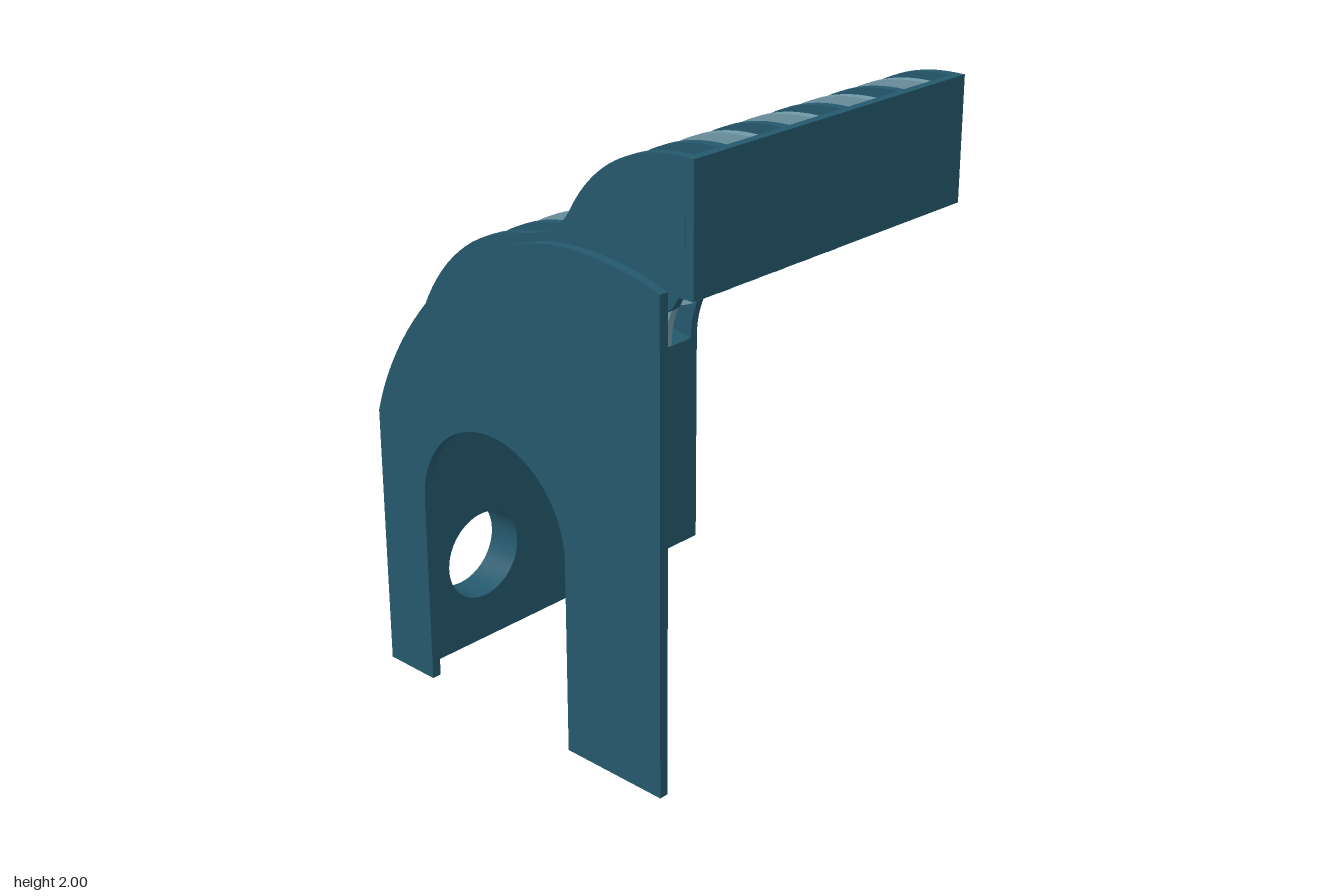
import * as THREE from 'three';
import { toCreasedNormals } from 'three/addons/utils/BufferGeometryUtils.js';

const T = 0.033; // sheet thickness

// Extrude a shape and keep its curved edges smooth
function sheet(shape, depth) {
  const geo = new THREE.ExtrudeGeometry(shape, { depth, bevelEnabled: false, curveSegments: 24 });
  return geo;
}

// Wavy slat, used for every rib
function ribShape() {
  const s = new THREE.Shape();
  s.moveTo(-0.5, 0.815);
  s.bezierCurveTo(-0.5, 1.06, -0.28, 1.23, 0, 1.265);
  s.bezierCurveTo(0.07, 1.275, 0.13, 1.29, 0.17, 1.33);
  s.bezierCurveTo(0.25, 1.47, 0.4, 1.58, 0.6, 1.58);
  s.lineTo(0.6, 2);
  s.bezierCurveTo(0.38, 2, 0.23, 1.9, 0.14, 1.75);
  s.bezierCurveTo(0.09, 1.66, 0.01, 1.64, -0.08, 1.622);
  s.bezierCurveTo(-0.4, 1.57, -0.63, 1.28, -0.63, 0.845);
  s.closePath();
  return s;
}

// Tall front sheet with an arched opening between two legs
function frontShape() {
  const s = new THREE.Shape();
  s.moveTo(-0.63, 0);
  s.lineTo(-0.42, 0);
  s.lineTo(-0.42, 0.665);
  s.absarc(-0.095, 0.665, 0.325, Math.PI, 0, true);
  s.lineTo(0.23, 0);
  s.lineTo(0.63, 0);
  s.lineTo(0.63, 1.64);
  s.bezierCurveTo(0.55, 1.67, 0.42, 1.69, 0.28, 1.69);
  s.bezierCurveTo(-0.12, 1.69, -0.52, 1.29, -0.63, 0.92);
  s.closePath();
  return s;
}

export function createModel() {
  const group = new THREE.Group();
  const dark = new THREE.MeshStandardMaterial({ color: 0x24586c });
  dark.name = 'dark teal';
  const light = new THREE.MeshStandardMaterial({ color: 0x7199a7 });
  light.name = 'pale teal';

  function add(name, geo, mat, x, y, z) {
    const mesh = new THREE.Mesh(toCreasedNormals(geo, 0.5), mat);
    mesh.name = name;
    mesh.position.set(x, y, z);
    group.add(mesh);
  }

  // Ten ribs from back to front, some of them pale
  const ribGeo = sheet(ribShape(), T);
  const pale = [1, 3, 5, 7];
  for (let i = 0; i < 10; i++) {
    add('rib' + (i + 1), ribGeo, pale.includes(i) ? light : dark, 0, 0, -0.695 + i * 0.1355);
  }

  // Arched front panel
  add('frontPanel', sheet(frontShape(), T), dark, 0, 0, 0.695 - T);

  // Upper board joining the rib ends
  add('upperBoard', new THREE.BoxGeometry(0.03, 0.42, 1.252), dark, 0.615, 1.79, -0.069);

  // Thick lower side wall with a round hole and a slightly sloping top
  const wall = new THREE.Shape();
  wall.moveTo(-0.695, 0);
  wall.lineTo(0.664, 0);
  wall.lineTo(0.664, 0.845);
  wall.lineTo(-0.695, 0.845);
  wall.closePath();
  const hole = new THREE.Path();
  hole.absarc(0.38, 0.32, 0.157, 0, Math.PI * 2, true);
  wall.holes.push(hole);
  const wallGeo = sheet(wall, 0.13);
  wallGeo.rotateY(-Math.PI / 2);
  const p = wallGeo.attributes.position;
  for (let i = 0; i < p.count; i++) {
    if (p.getY(i) > 0.8 && p.getX(i) > -0.01) p.setY(i, 0.815);
  }
  add('sideWall', wallGeo, dark, -0.5, 0, 0);

  return group;
}
